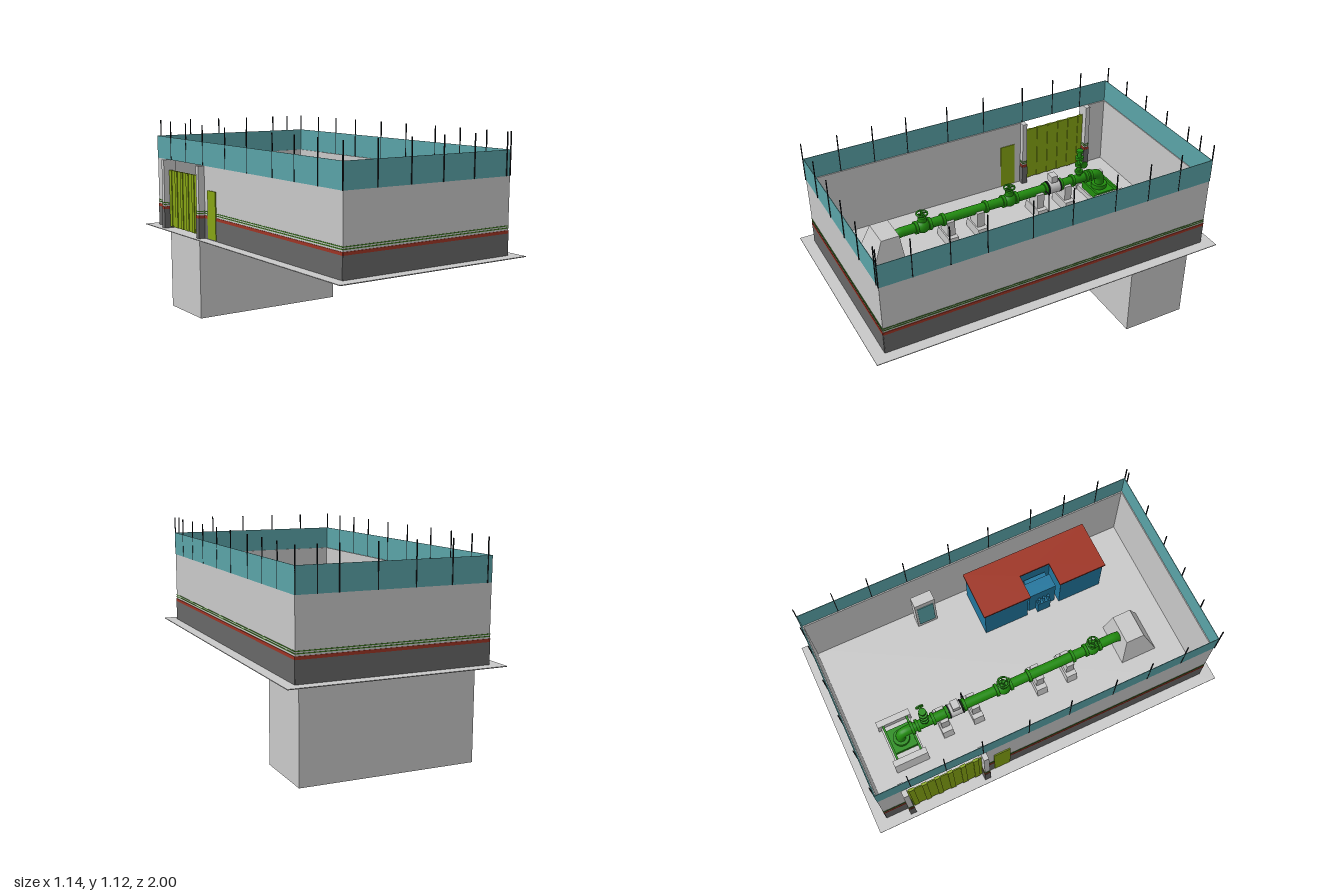
import * as THREE from 'three';

export function createModel() {
  const root = new THREE.Group();
  const mat = (name, color) => {
    const m = new THREE.MeshStandardMaterial({ color });
    m.name = name;
    return m;
  };
  const concrete = mat('concrete', 0xc8c8c8), plinth = mat('plinthGrey', 0x676767);
  const red = mat('brickRed', 0x9e3424), stripeGreen = mat('stripeGreen', 0x3c7420);
  const teal = mat('fenceTeal', 0x5aa3a7), black = mat('black', 0x14181c);
  const green = mat('pipeGreen', 0x218c0e), olive = mat('gateOlive', 0x86a414);
  const blue = mat('houseBlue', 0x21759c);

  const add = (name, geo, m, parent = root) => {
    const mesh = new THREE.Mesh(geo, m);
    mesh.name = name;
    parent.add(mesh);
    return mesh;
  };
  // Box given by its limits on each axis
  const box = (name, m, x0, x1, y0, y1, z0, z1, parent = root) => {
    const b = add(name, new THREE.BoxGeometry(x1 - x0, y1 - y0, z1 - z0), m, parent);
    b.position.set((x0 + x1) / 2, (y0 + y1) / 2, (z0 + z1) / 2);
    return b;
  };
  // Box whose upper rectangle differs from its lower one; rectangles are [x0, x1, z0, z1]
  const frustum = (name, m, low, y0, high, y1) => {
    const g = new THREE.BoxGeometry(1, 1, 1), p = g.attributes.position;
    for (let i = 0; i < p.count; i++) {
      const up = p.getY(i) > 0, r = up ? high : low;
      p.setXYZ(i, p.getX(i) < 0 ? r[0] : r[1], up ? y1 : y0, p.getZ(i) < 0 ? r[2] : r[3]);
    }
    g.computeVertexNormals();
    return add(name, g, m);
  };
  // Cylinder between two points
  const rod = (name, m, a, b, r, parent = root, sides = 20) => {
    const A = new THREE.Vector3(...a), B = new THREE.Vector3(...b), d = B.clone().sub(A);
    const c = add(name, new THREE.CylinderGeometry(r, r, d.length(), sides), m, parent);
    c.position.copy(A).add(B).multiplyScalar(0.5);
    c.quaternion.setFromUnitVectors(new THREE.Vector3(0, 1, 0), d.normalize());
    return c;
  };

  // Ground slab and the chamber below it
  box('groundSlab', concrete, -0.57, 0.57, 0.496, 0.5, -1, 1);
  box('undergroundChamber', concrete, -0.46, 0.47, 0, 0.496, -0.89, -0.52);

  // Perimeter walls with painted bands on the outer faces
  const X = 0.508, ZB = -0.938, ZF = 0.934, T = 0.008, gateBack = -0.8, gateFront = -0.37;
  const bands = [
    ['plinthBand', plinth, 0.5, 0.612, 0.003], ['redBand', red, 0.612, 0.628, 0.003],
    ['lowerStripe', stripeGreen, 0.637, 0.642, 0.002], ['upperStripe', stripeGreen, 0.648, 0.653, 0.002],
  ];
  const wall = (name, x0, x1, z0, z1, side) => {
    box(name, concrete, x0, x1, 0.5, 0.9, z0, z1);
    for (const [n, m, y0, y1, t] of bands) {
      if (side === 'front') box(n, m, x0, x1, y0, y1, z1, z1 + t);
      if (side === 'back') box(n, m, x0, x1, y0, y1, z0 - t, z0);
      if (side === 'left') box(n, m, x1, x1 + t, y0, y1, z0, z1);
      if (side === 'right') box(n, m, x0 - t, x0, y0, y1, z0, z1);
    }
  };
  wall('frontWall', -X, X, ZF - T, ZF, 'front');
  wall('backWall', -X, X, ZB, ZB + T, 'back');
  wall('leftWall', X - T, X, ZB, ZF, 'left');
  wall('rightWallRear', -X, -X + T, ZB, gateBack, 'right');
  wall('rightWallFront', -X, -X + T, gateFront, ZF, 'right');

  // Screen fence on top of the walls
  const F = 0.003;
  box('frontFence', teal, -X, X, 0.9, 1.03, ZF - F, ZF);
  box('backFence', teal, -X, X, 0.9, 1.03, ZB, ZB + F);
  for (const s of [-1, 1]) box('sideFence', teal, s * X - F / 2, s * X + F / 2, 0.9, 1.03, ZB, ZF);

  // Fence posts
  const post = (x, z) => box('fencePost', black, x - 0.0025, x + 0.0025, 0.9, 1.12, z - 0.0025, z + 0.0025);
  for (const x of [-0.51, -0.318, -0.123, 0.072, 0.268, 0.483, 0.507]) post(x, ZF + 0.001);
  for (const x of [-0.485, -0.29, -0.097, 0.1, 0.293, 0.4, 0.507]) post(x, ZB);
  for (const z of [0.765, 0.57, 0.375, 0.13, -0.095, -0.345, -0.545, -0.735]) {
    post(X, z);
    post(-X, z - 0.025);
  }

  // Gate pillars, ribbed gate and side door
  for (const z of [gateBack, gateFront]) {
    box('gatePillar', concrete, -0.545, -0.47, 0.5, 0.9, z - 0.014, z + 0.014);
    box('pillarBase', plinth, -0.548, -0.467, 0.5, 0.612, z - 0.017, z + 0.017);
    box('pillarRedBand', red, -0.547, -0.468, 0.612, 0.628, z - 0.016, z + 0.016);
    for (const y of [0.637, 0.648])
      box('pillarStripe', stripeGreen, -0.547, -0.468, y, y + 0.005, z - 0.016, z + 0.016);
  }
  box('gatePanel', olive, -0.511, -0.505, 0.51, 0.84, gateBack + 0.014, gateFront - 0.014);
  for (let i = 0; i < 6; i++) {
    const z = -0.765 + i * 0.07;
    box('gateRib', olive, -0.515, -0.501, 0.51, 0.84, z - 0.014, z + 0.014);
  }
  box('sideDoor', olive, -0.514, -0.496, 0.505, 0.77, -0.315, -0.225);

  // Control house with a notched plan
  const plan = (inset) => {
    const a = 0.203 + inset, b = 0.482 - inset, c = 0.342 + inset;
    const z0 = -0.04 + inset, z1 = 0.69 - inset, n0 = 0.238 - inset, n1 = 0.414 + inset;
    return new THREE.Shape([[a, z0], [b, z0], [b, z1], [a, z1], [a, n1], [c, n1], [c, n0], [a, n0]]
      .map(([x, z]) => new THREE.Vector2(x, -z)));
  };
  const slab = (name, m, inset, y0, y1) => {
    const g = new THREE.ExtrudeGeometry(plan(inset), { depth: y1 - y0, bevelEnabled: false });
    add(name, g.rotateX(-Math.PI / 2).translate(0, y0, 0), m);
  };
  slab('houseWalls', blue, 0.01, 0.5, 0.745);
  slab('houseRoof', red, 0, 0.745, 0.757);

  // Equipment unit in the notch of the house
  box('unitBody', blue, 0.232, 0.312, 0.5, 0.69, 0.245, 0.405);
  box('unitRear', blue, 0.312, 0.342, 0.5, 0.67, 0.262, 0.392);
  box('unitFront', blue, 0.205, 0.232, 0.5, 0.6, 0.288, 0.365);
  for (const z of [0.3, 0.327, 0.354])
    rod('unitTerminal', blue, [0.218, 0.6, z], [0.218, 0.64, z], 0.008, root, 10);

  // Grey cabinet near the left wall
  box('cabinet', concrete, 0.41, 0.47, 0.5, 0.77, -0.357, -0.24);
  box('cabinetDoor', teal, 0.406, 0.41, 0.53, 0.73, -0.345, -0.252);

  // Pipeline: rises from the pedestal, runs forward and dives into the ground
  const PX = -0.163, PY = 0.65, R = 0.027;
  const line = new THREE.CurvePath();
  const v = (y, z) => new THREE.Vector3(PX, y, z);
  line.add(new THREE.LineCurve3(v(0.53, -0.7), v(0.6, -0.7)));
  line.add(new THREE.QuadraticBezierCurve3(v(0.6, -0.7), v(PY, -0.7), v(PY, -0.65)));
  line.add(new THREE.LineCurve3(v(PY, -0.65), v(PY, 0.55)));
  line.add(new THREE.QuadraticBezierCurve3(v(PY, 0.55), v(PY, 0.58), v(0.63, 0.6)));
  line.add(new THREE.LineCurve3(v(0.63, 0.6), v(0.472, 0.758)));
  add('mainPipe', new THREE.TubeGeometry(line, 160, R, 20), green);
  rod('pipeEnd', green, [PX, 0.474, 0.756], [PX, 0.4715, 0.7585], R);
  for (const z of [-0.63, -0.6, -0.51, -0.43, -0.33, -0.14, -0.06, 0.05, 0.31, 0.39, 0.47])
    rod('flange', green, [PX, PY, z - 0.008], [PX, PY, z + 0.008], 0.036);

  // Valves with bonnet and handwheel
  const valve = (z, top) => {
    const g = new THREE.Group();
    g.name = 'valve';
    root.add(g);
    add('valveBody', new THREE.SphereGeometry(0.041, 20, 14), green, g).position.set(PX, PY, z);
    rod('valveBonnet', green, [PX, PY, z], [PX, PY + 0.06, z], 0.024, g);
    rod('valveStem', green, [PX, PY, z], [PX, top, z], 0.008, g, 10);
    const w = add('handwheel', new THREE.TorusGeometry(0.03, 0.005, 8, 24), green, g);
    w.rotation.x = Math.PI / 2;
    w.position.set(PX, top - 0.01, z);
    for (const s of [0, 1])
      rod('wheelSpoke', green, [PX - 0.03 * s, top - 0.01, z - 0.03 * (1 - s)],
        [PX + 0.03 * s, top - 0.01, z + 0.03 * (1 - s)], 0.004, g, 8);
  };
  valve(-0.1, 0.74);
  valve(0.43, 0.74);

  // Upright branch with side wheel near the wellhead
  rod('branchPipe', green, [PX, PY, -0.555], [PX, 0.83, -0.555], 0.013);
  for (const y of [0.7, 0.745, 0.79])
    rod('branchFlange', green, [PX, y - 0.008, -0.555], [PX, y + 0.008, -0.555], 0.024);
  rod('branchArm', green, [PX, 0.77, -0.555], [-0.11, 0.77, -0.555], 0.007, root, 10);
  rod('branchWheel', green, [-0.115, 0.77, -0.555], [-0.108, 0.77, -0.555], 0.022);
  rod('branchCap', green, [PX, 0.825, -0.555], [PX, 0.84, -0.555], 0.02);

  // Grey flow meter with gauge and drain probe
  rod('meterBody', concrete, [PX, PY, -0.415], [PX, PY, -0.35], 0.038);
  box('meterHead', concrete, PX - 0.025, PX + 0.025, 0.69, 0.73, -0.4, -0.36);
  for (const z of [-0.42, -0.345]) rod('meterRing', black, [PX, PY, z - 0.003], [PX, PY, z + 0.003], 0.04);
  rod('probeArm', black, [PX, PY, -0.32], [-0.095, PY, -0.32], 0.004, root, 8);
  rod('probeRod', black, [-0.095, 0.405, -0.32], [-0.095, PY, -0.32], 0.003, root, 8);
  box('probeSocket', concrete, -0.107, -0.083, 0.44, 0.5, -0.328, -0.308);

  // Pipe supports with tapering feet
  for (const z of [-0.46, -0.28, 0.1, 0.28]) {
    frustum('supportFoot', concrete, [-0.253, -0.073, z - 0.03, z + 0.03], 0.47,
      [-0.235, -0.091, z - 0.03, z + 0.03], 0.56);
    box('supportSaddle', concrete, PX - 0.045, PX + 0.045, 0.56, 0.65, z - 0.022, z + 0.022);
  }

  // Thrust block where the pipe dives
  frustum('thrustBlock', concrete, [-0.272, -0.038, 0.578, 0.785], 0.5, [-0.235, -0.072, 0.6, 0.703], 0.7);

  // Wellhead pedestal between two concrete blocks
  box('pedestalPlate', green, -0.228, -0.092, 0.53, 0.555, -0.765, -0.625);
  for (const z of [-0.765, -0.63]) box('pedestalBeam', green, -0.265, -0.065, 0.555, 0.575, z - 0.006, z + 0.006);
  rod('pedestalFlange', green, [PX, 0.555, -0.7], [PX, 0.58, -0.7], 0.045);
  for (const s of [-1, 1]) {
    const inner = PX + s * 0.1, top = PX + s * 0.135, outer = PX + s * 0.152;
    frustum('pedestalBlock', concrete,
      [Math.min(inner, outer), Math.max(inner, outer), -0.795, -0.605], 0.5,
      [Math.min(inner, top), Math.max(inner, top), -0.795, -0.605], 0.57);
  }
  box('pedestalBase', concrete, -0.27, -0.06, 0.5, 0.53, -0.78, -0.615);

  return root;
}
